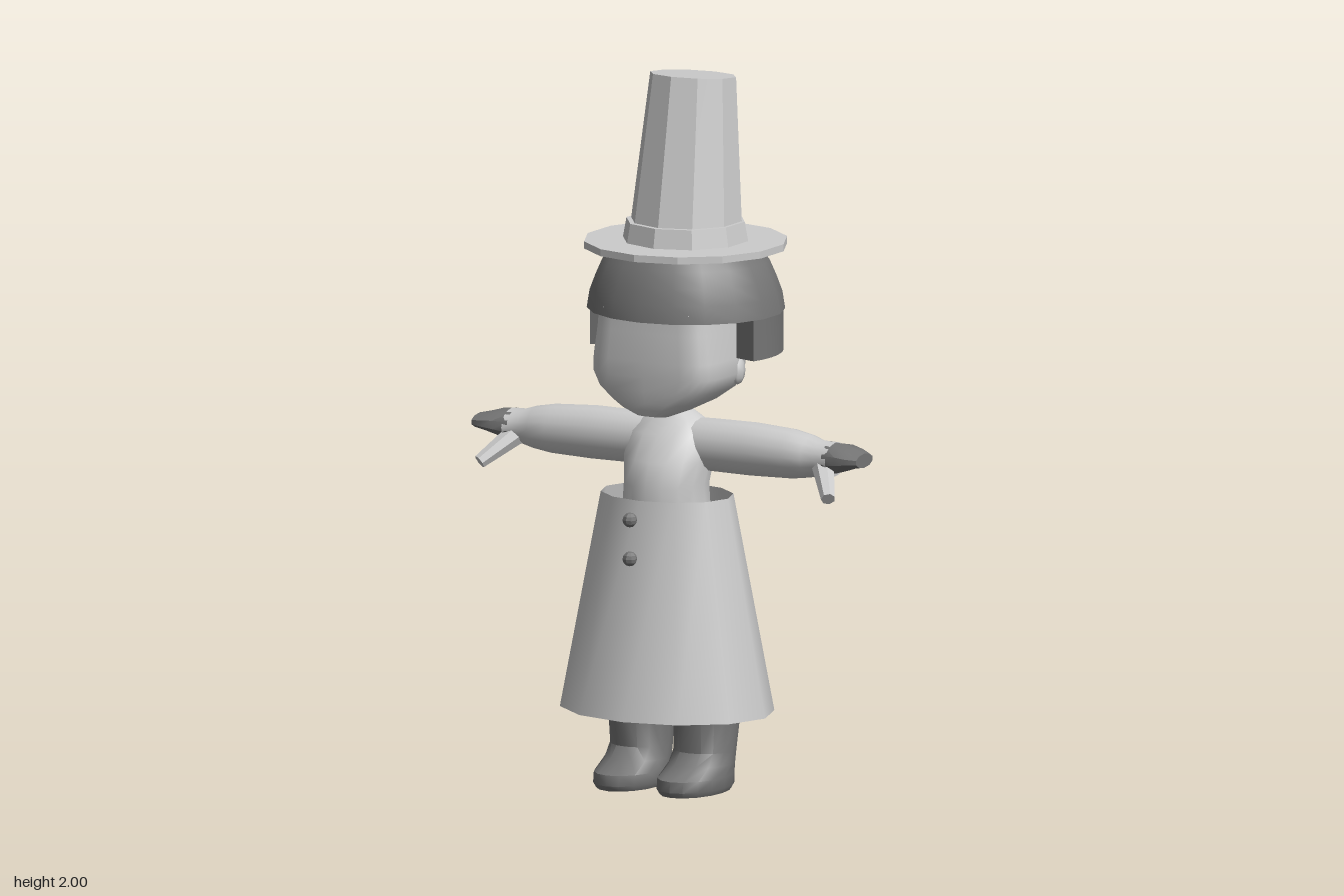
import * as THREE from 'three';
import { toCreasedNormals } from 'three/addons/utils/BufferGeometryUtils.js';

const light = new THREE.MeshStandardMaterial({ color: 0xcccccc, side: THREE.DoubleSide });
light.name = 'light grey';
const dark = new THREE.MeshStandardMaterial({ color: 0x757575, side: THREE.DoubleSide });
dark.name = 'dark grey';

function add(parent, name, geometry, material, crease = 0.8) {
  const mesh = new THREE.Mesh(toCreasedNormals(geometry, crease), material);
  mesh.name = name;
  parent.add(mesh);
  return mesh;
}

// Closed skin over stacked rings [y, centreX, centreZ, radiusX, radiusZ, squareness]
function loft(rings, seg = 16) {
  const pos = [], idx = [];
  const power = (v, p) => Math.sign(v) * Math.abs(v) ** p;
  for (const [y, cx, cz, rx, rz, p = 1] of rings) {
    for (let j = 0; j < seg; j++) {
      const a = (j / seg) * Math.PI * 2;
      // only the front half is squared off
      const q = Math.sin(a) > 0 ? p : 1;
      pos.push(cx + rx * power(Math.cos(a), q), y, cz + rz * power(Math.sin(a), q));
    }
  }
  const last = rings.length - 1;
  for (let i = 0; i < last; i++) {
    for (let j = 0; j < seg; j++) {
      const k = (j + 1) % seg;
      const a = i * seg + j, b = i * seg + k, c = a + seg, d = b + seg;
      idx.push(a, c, b, b, c, d);
    }
  }
  for (let j = 1; j < seg - 1; j++) {
    idx.push(0, j, j + 1, last * seg, last * seg + j + 1, last * seg + j);
  }
  const g = new THREE.BufferGeometry();
  g.setAttribute('position', new THREE.Float32BufferAttribute(pos, 3));
  g.setIndex(idx);
  return g;
}

// One side's limbs, built on +x
function limbs(name) {
  const side = new THREE.Group();
  side.name = name;

  add(side, 'leg', loft([
    [0, 0.102, 0.09, 0.085, 0.135],
    [0.015, 0.102, 0.09, 0.093, 0.145],
    [0.045, 0.102, 0.088, 0.093, 0.142],
    [0.075, 0.102, 0.055, 0.09, 0.105],
    [0.11, 0.102, 0.038, 0.088, 0.088],
    [0.22, 0.106, 0.032, 0.092, 0.102],
    [0.5, 0.1, 0.05, 0.095, 0.1],
  ]), dark);

  // rings run out along x once turned
  add(side, 'arm', loft([
    [0.05, -0.97, 0.03, 0.07, 0.07],
    [0.12, -0.97, 0.032, 0.075, 0.07],
    [0.25, -0.97, 0.032, 0.076, 0.071],
    [0.38, -0.968, 0.032, 0.07, 0.07],
    [0.44, -0.967, 0.034, 0.06, 0.062],
    [0.475, -0.966, 0.036, 0.05, 0.05],
    [0.52, -0.966, 0.035, 0.048, 0.06],
  ]).rotateZ(-Math.PI / 2).scale(1, -1, 1).scale(1, -1, 1), light);

  add(side, 'hand', loft([
    [0.505, -0.968, 0.035, 0.047, 0.058],
    [0.55, -0.972, 0.03, 0.038, 0.07],
    [0.585, -0.973, 0.035, 0.027, 0.068],
    [0.618, -0.973, 0.045, 0.02, 0.048],
  ], 10).rotateZ(-Math.PI / 2), dark);

  // thumb points out, down and forward
  const from = new THREE.Vector3(0.495, 0.945, 0.06), to = new THREE.Vector3(0.56, 0.875, 0.145);
  const dir = to.clone().sub(from);
  const thumb = add(side, 'thumb',
    new THREE.CylinderGeometry(0.02, 0.032, dir.length(), 7), light);
  thumb.position.copy(from).lerp(to, 0.5);
  thumb.quaternion.setFromUnitVectors(new THREE.Vector3(0, 1, 0), dir.normalize());

  add(side, 'ear', new THREE.SphereGeometry(1, 8, 6).scale(0.018, 0.04, 0.03)
    .translate(0.185, 1.18, 0.0), light, 2);
  return side;
}

export function createModel() {
  const model = new THREE.Group();
  model.name = 'figure';

  const left = limbs('leftLimbs');
  const right = limbs('rightLimbs');
  right.scale.x = -1;
  model.add(left, right);

  // Torso and neck
  add(model, 'torso', loft([
    [0.5, 0, 0.06, 0.17, 0.1],
    [0.75, 0, 0.075, 0.13, 0.11],
    [0.86, 0, 0.075, 0.12, 0.118],
    [0.93, 0, 0.062, 0.13, 0.112],
    [1.0, 0, 0.04, 0.13, 0.085],
    [1.04, 0, 0.03, 0.09, 0.06],
    [1.06, 0, 0.025, 0.05, 0.045],
    [1.13, 0, 0.025, 0.045, 0.045],
  ]), light);

  // Head, squared off into a flat face
  add(model, 'head', loft([
    [1.06, 0, 0.14, 0.05, 0.035, 0.7],
    [1.08, 0, 0.11, 0.1, 0.08, 0.6],
    [1.1, 0, 0.06, 0.135, 0.135, 0.5],
    [1.135, 0, 0.035, 0.18, 0.165, 0.45],
    [1.175, 0, 0.025, 0.197, 0.178, 0.4],
    [1.22, 0, 0.018, 0.195, 0.188, 0.4],
    [1.3, 0, 0.01, 0.185, 0.192, 0.4],
    [1.36, 0, 0.01, 0.18, 0.19, 0.4],
  ], 24), light);

  // Hair: full cap, then a lower band open at the face
  const cap = [[0.19, 1.34], [0.28, 1.335], [0.272, 1.385], [0.255, 1.43], [0.235, 1.475], [0.2, 1.515], [0, 1.525]];
  add(model, 'hairCap', new THREE.LatheGeometry(cap.map(([r, y]) => new THREE.Vector2(r, y)), 18)
    .scale(1, 1, 0.94).translate(0, 0, -0.032), dark);

  const open = 0.3;
  const arc = new THREE.Shape();
  arc.absarc(0, 0, 0.275, -open, Math.PI + open, false);
  arc.absarc(0, 0, 0.205, Math.PI + open, -open, true);
  add(model, 'hairBand', new THREE.ExtrudeGeometry(arc, { depth: 0.12, bevelEnabled: false, curveSegments: 12 })
    .rotateX(-Math.PI / 2).scale(1, 1, 0.95).translate(0, 1.22, -0.032), dark);

  // Flared skirt, open at both ends
  add(model, 'skirt', new THREE.CylinderGeometry(0.195, 0.315, 0.61, 12, 1, true)
    .scale(1, 1, 0.785).translate(0, 0.525, 0.072), light);

  // Buttons down the front
  for (const y of [0.785, 0.675]) {
    add(model, 'button', new THREE.SphereGeometry(0.021, 8, 6).translate(0, y, 0.278), dark, 0.1);
  }

  // Hat: brim, band and a crown leaning back
  add(model, 'hatBrim', new THREE.CylinderGeometry(0.285, 0.285, 0.02, 14)
    .translate(0, 1.52, -0.03), light, 0.3);
  add(model, 'hatBand', new THREE.CylinderGeometry(0.168, 0.178, 0.055, 10)
    .translate(0, 1.557, -0.03), light, 0.1);

  const crown = new THREE.CylinderGeometry(0.122, 0.162, 0.46, 10, 1);
  const p = crown.attributes.position;
  for (let i = 0; i < p.count; i++) {
    if (p.getY(i) > 0) {
      p.setY(i, p.getY(i) + p.getZ(i) * 0.1);
      p.setZ(i, p.getZ(i) - 0.042);
    }
  }
  add(model, 'hatCrown', crown.translate(0, 1.758, -0.03), light, 0.1);

  return model;
}
